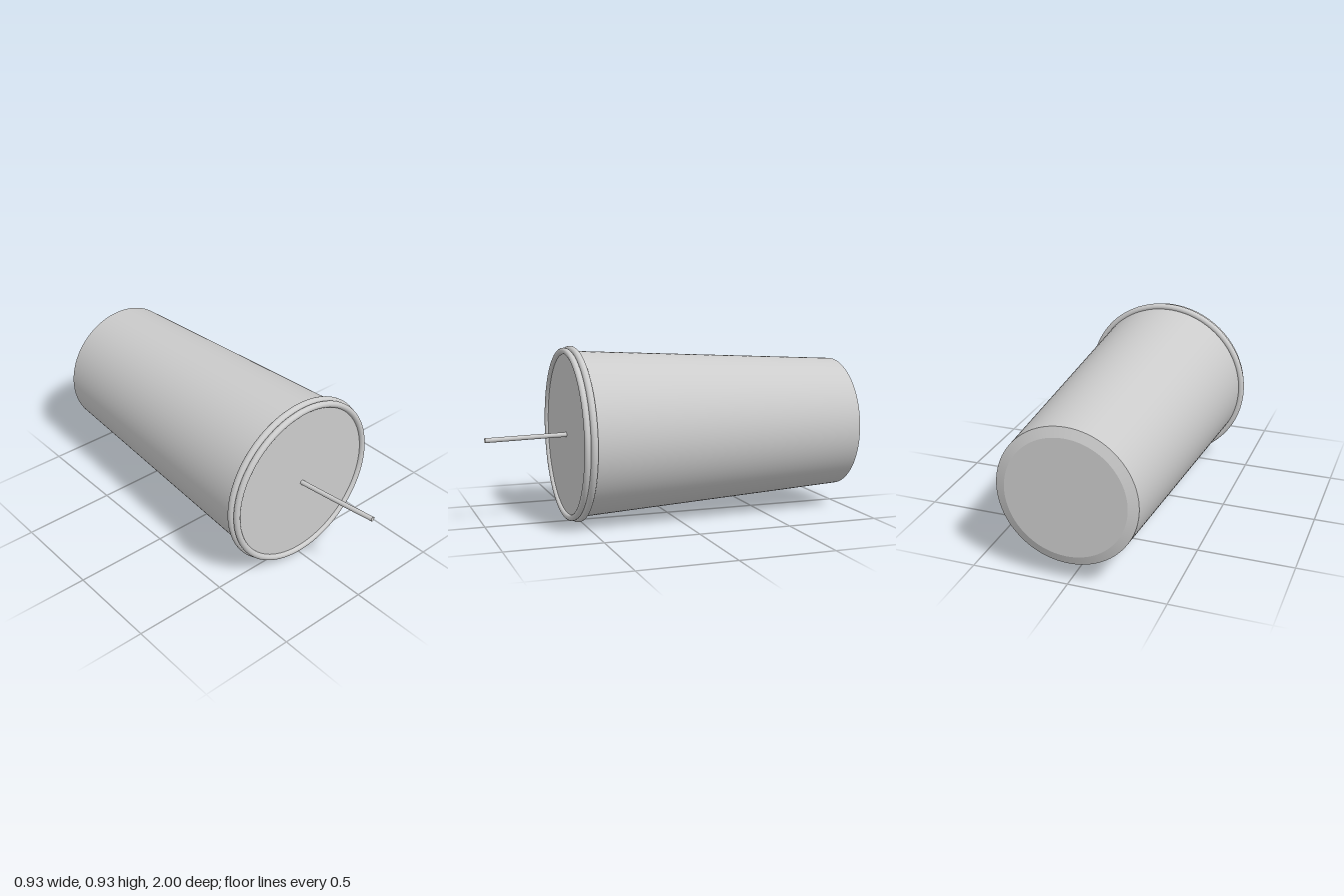
import * as THREE from 'three';

const SEGMENTS = 96;
const AXIS_Y = 0.463;

export function createModel() {
  const model = new THREE.Group();
  const grey = new THREE.MeshStandardMaterial({ color: 0xcccccc });
  grey.name = 'plain grey';
  const greyOpen = new THREE.MeshStandardMaterial({ color: 0xcccccc, side: THREE.DoubleSide });
  greyOpen.name = 'plain grey open tube';

  const add = (name, geometry, material = grey) => {
    const mesh = new THREE.Mesh(geometry, material);
    mesh.name = name;
    mesh.position.y = AXIS_Y;
    model.add(mesh);
    return mesh;
  };

  // Band of revolution about the z axis, from [radius, z] to [radius, z]
  const band = (name, ...profile) => {
    const points = profile.map(([r, z]) => new THREE.Vector2(r, z));
    return add(name, new THREE.LatheGeometry(points, SEGMENTS).rotateX(Math.PI / 2));
  };

  // Cup lying on its side: flat base, bevelled foot, tapered wall
  band('cupBase', [0, -1], [0.308, -1]);
  band('cupFoot', [0.308, -1], [0.357, -0.982]);
  band('cupWall', [0.357, -0.982], [0.437, 0.53]);

  // Two rolled rings: the cup's lip and the lid's edge
  const ring = (name, radius, tube, z) =>
    add(name, new THREE.TorusGeometry(radius, tube, 20, SEGMENTS).translate(0, 0, z));
  ring('cupLip', 0.445, 0.018, 0.528);
  ring('lidEdge', 0.4375, 0.0165, 0.561);

  // Flat lid set just inside its edge
  add('lid', new THREE.CircleGeometry(0.4375, SEGMENTS).translate(0, 0, 0.561));

  // Thin, slightly bent hollow straw
  const path = new THREE.QuadraticBezierCurve3(
    new THREE.Vector3(0, 0, 0.55),
    new THREE.Vector3(0.023, 0, 0.76),
    new THREE.Vector3(0.057, 0, 0.998)
  );
  add('straw', new THREE.TubeGeometry(path, 24, 0.0125, 20, false), greyOpen);

  return model;
}
